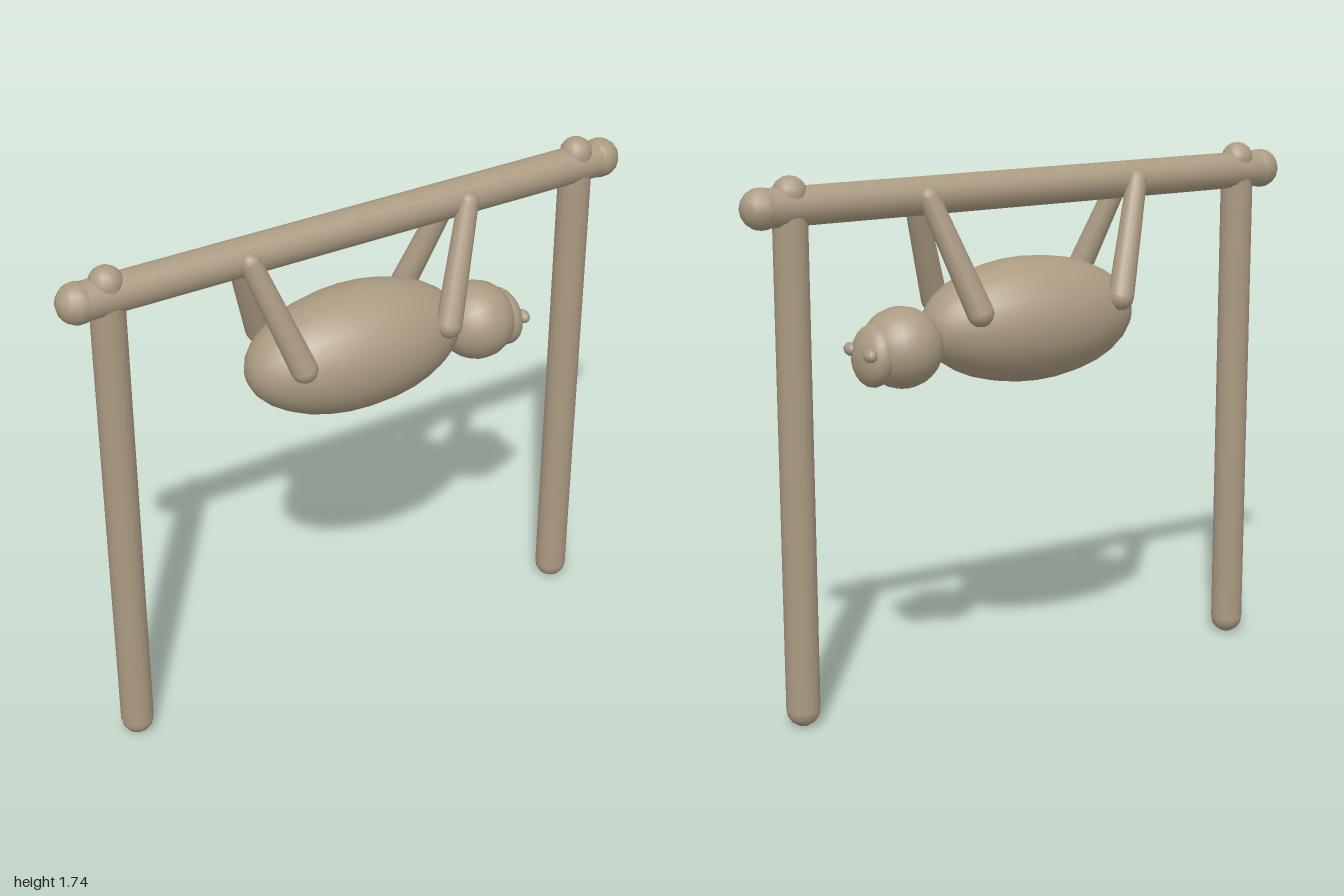
import * as THREE from 'three';

export function createModel() {
  const model = new THREE.Group();
  const clay = new THREE.MeshStandardMaterial({ color: 0xab9b82 });
  clay.name = 'warm clay';
  const V = (x, y, z) => new THREE.Vector3(x, y, z);

  // Ellipsoid with its poles along x
  function ellipsoid(name, pos, rx, ry, rz, w = 24, h = 16) {
    const geo = new THREE.SphereGeometry(1, w, h).rotateZ(-Math.PI / 2).scale(rx, ry, rz);
    const mesh = new THREE.Mesh(geo, clay);
    mesh.name = name;
    mesh.position.copy(pos);
    model.add(mesh);
    return mesh;
  }

  // Round rod from a to b with a ball at each end
  function rod(name, a, b, ra, rb, ballA = ra, ballB = rb) {
    const group = new THREE.Group();
    group.name = name;
    const dir = b.clone().sub(a);
    const shaft = new THREE.Mesh(new THREE.CylinderGeometry(rb, ra, dir.length(), 16), clay);
    shaft.name = name + 'Shaft';
    shaft.position.copy(a).lerp(b, 0.5);
    shaft.quaternion.setFromUnitVectors(V(0, 1, 0), dir.normalize());
    group.add(shaft);
    for (const [p, r] of [[a, ballA], [b, ballB]]) {
      const ball = new THREE.Mesh(new THREE.SphereGeometry(r, 14, 8), clay);
      ball.name = name + 'End';
      ball.position.copy(p);
      group.add(ball);
    }
    model.add(group);
  }

  // Frame: crossbar on two posts
  rod('crossbar', V(-0.935, 1.65, 0), V(0.935, 1.65, 0), 0.061, 0.061, 0.065, 0.065);
  for (const s of [-1, 1]) {
    rod(s > 0 ? 'leftPost' : 'rightPost', V(s * 0.84, 0.054, 0), V(s * 0.84, 1.69, 0), 0.054, 0.054);
  }

  // Hanging animal: body, head and face
  ellipsoid('body', V(0, 1.225, 0), 0.385, 0.203, 0.203);
  ellipsoid('head', V(0.467, 1.18, 0), 0.13, 0.13, 0.135);
  ellipsoid('muzzle', V(0.568, 1.165, 0), 0.058, 0.1, 0.1).rotation.z = 0.1;

  // Paired eyes and limbs gripping the bar
  for (const z of [-1, 1]) {
    ellipsoid('eye', V(0.613, 1.18, z * 0.064), 0.02, 0.022, 0.03, 12, 8);
    for (const x of [-1, 1]) {
      rod(x > 0 ? 'arm' : 'leg', V(x * 0.265, 1.29, z * 0.145), V(x * 0.39, 1.65, z * 0.048),
        0.043, 0.034);
    }
  }
  return model;
}
